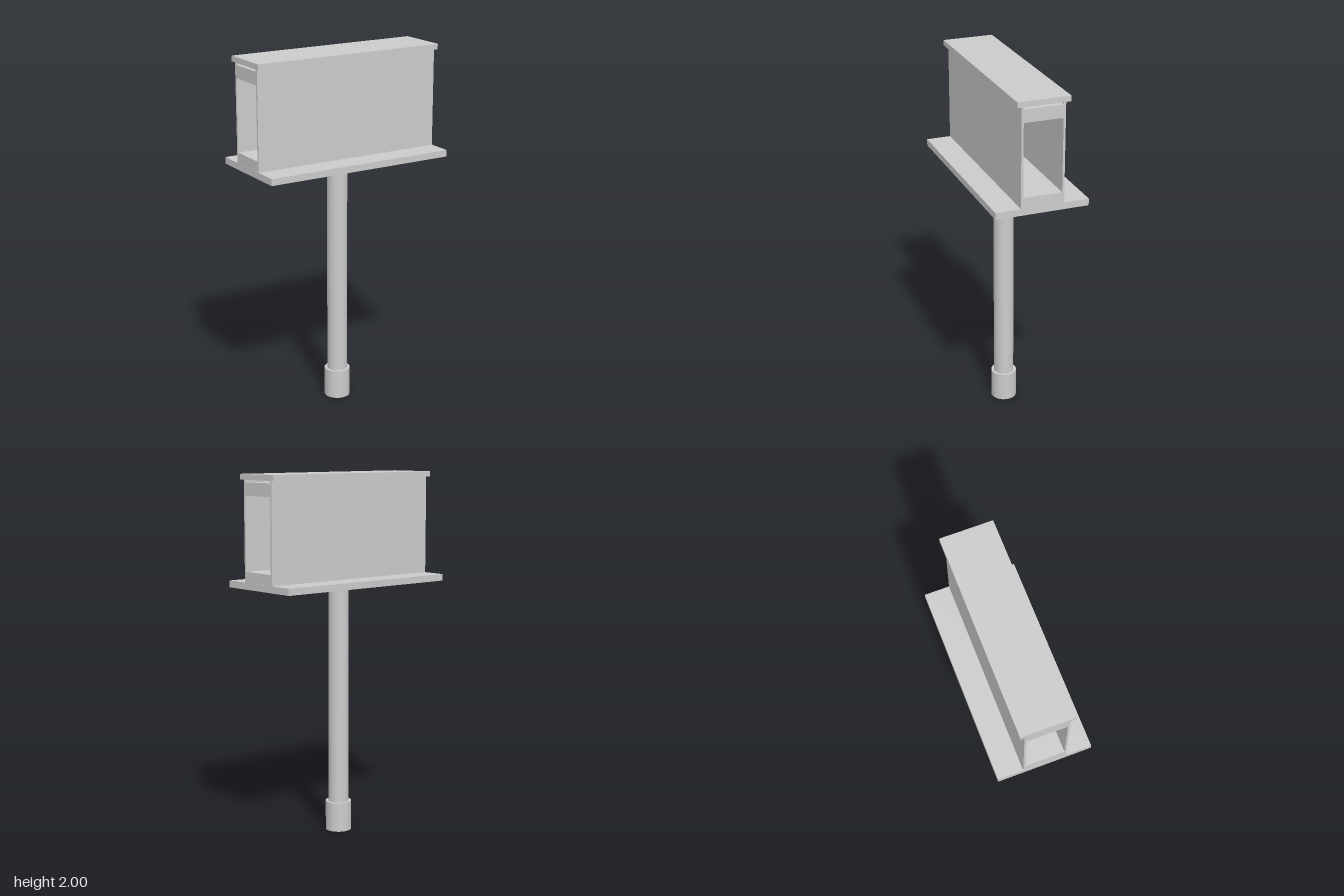
import * as THREE from 'three';

export function createModel() {
  const model = new THREE.Group();
  const material = new THREE.MeshStandardMaterial({ color: 0xcccccc });

  function add(name, geometry, x, y, z) {
    const mesh = new THREE.Mesh(geometry, material);
    mesh.name = name;
    mesh.position.set(x, y, z);
    model.add(mesh);
  }
  // Box spanning y0 to y1, centred on x and z
  function box(name, width, y0, y1, depth, x = 0, z = 0) {
    add(name, new THREE.BoxGeometry(width, y1 - y0, depth), x, (y0 + y1) / 2, z);
  }
  // Upright cylinder spanning y0 to y1
  function tube(name, radius, y0, y1, x = 0, z = 0, sides = 40) {
    add(name, new THREE.CylinderGeometry(radius, radius, y1 - y0, sides), x, (y0 + y1) / 2, z);
  }

  // Post with its foot socket
  tube('footSocket', 0.072, 0, 0.165);
  tube('post', 0.056, 0.165, 1.63);

  // Base plate and the long rails between the panels
  box('basePlate', 1.102, 1.393, 1.43, 0.511);
  box('lowerRail', 1.1, 1.43, 1.488, 0.222);
  box('upperRail', 1.1, 1.887, 1.957, 0.222);

  // Front and back panels
  for (const side of [1, -1]) {
    box(side > 0 ? 'frontPanel' : 'backPanel', 1.1, 1.43, 1.97, 0.012, 0, side * 0.112);
  }

  // Block on top of the post, held by four upright rods
  box('postBlock', 0.154, 1.63, 1.785, 0.154);
  for (const x of [-0.061, 0.061]) {
    for (const z of [-0.061, 0.061]) tube('supportRod', 0.011, 1.488, 1.887, x, z, 16);
  }

  // Roof cap
  box('roofCap', 1.112, 1.97, 2, 0.286);

  return model;
}
